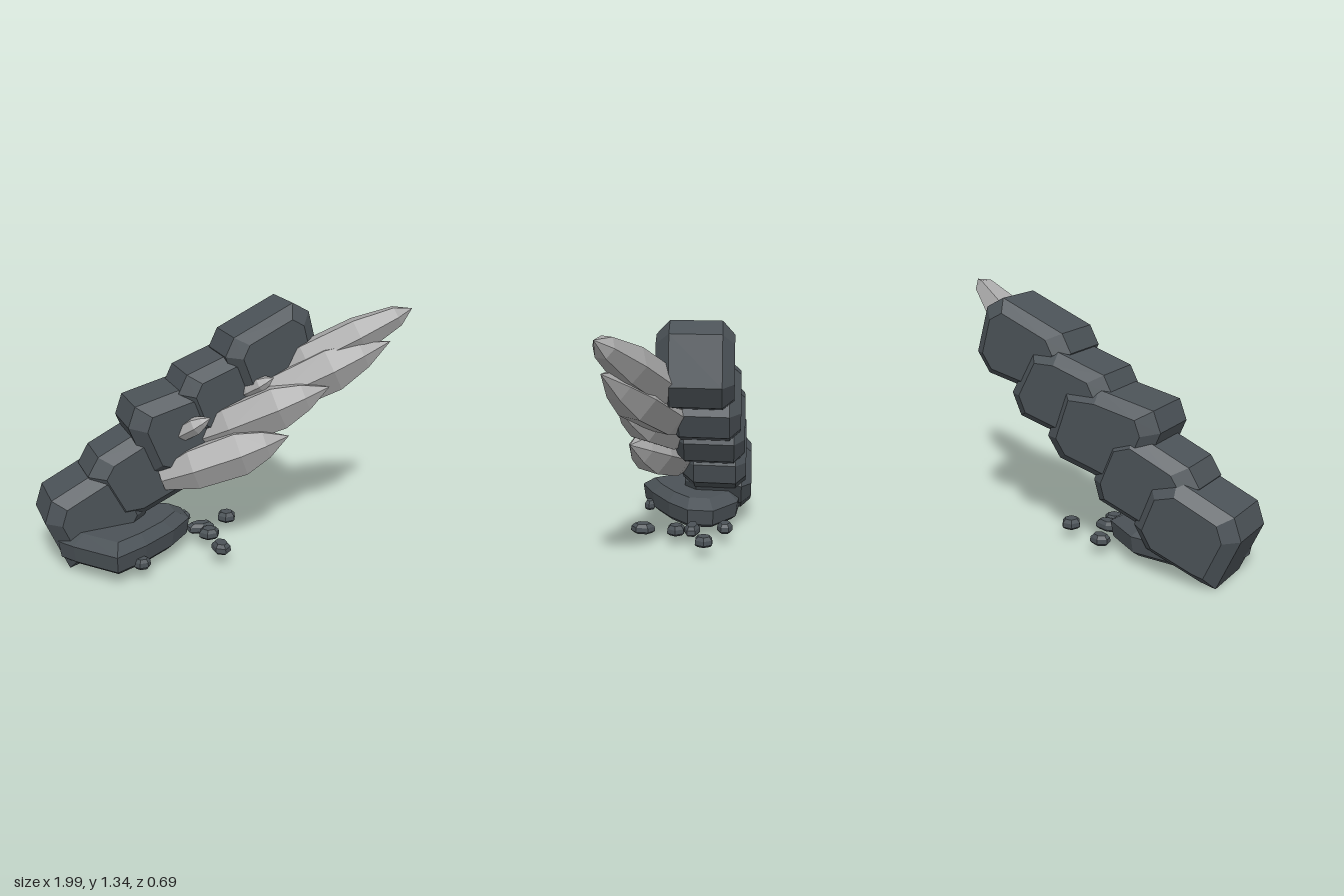
import * as THREE from 'three';
import { ConvexGeometry } from 'three/addons/geometries/ConvexGeometry.js';

const V = (x, y, z) => new THREE.Vector3(x, y, z);

export function createModel() {
  const model = new THREE.Group();
  const rock = new THREE.MeshStandardMaterial({ name: 'dark slate rock', color: 0x4b5257, flatShading: true });
  const crystal = new THREE.MeshStandardMaterial({ name: 'pale grey crystal', color: 0xa8a8a8, flatShading: true });

  const addHull = (name, points, material) => {
    const mesh = new THREE.Mesh(new ConvexGeometry(points), material);
    mesh.name = name;
    model.add(mesh);
  };

  // Chamfered boulder: a side outline given depth, with smaller front and back faces
  const boulder = (name, outline, front, back, skew) => {
    const n = outline.length;
    const cx = outline.reduce((s, p) => s + p[0], 0) / n;
    const cy = outline.reduce((s, p) => s + p[1], 0) / n;
    const points = [];
    for (const [z, scale] of [[front, 0.72], [front - 0.07, 1], [back + 0.06, 1], [back, 0.74]]) {
      for (const [x, y] of outline) {
        const px = cx + (x - cx) * scale;
        points.push(V(px, cy + (y - cy) * scale, z - skew * (px - cx)));
      }
    }
    addHull(name, points, rock);
  };

  // Leaning column of five stacked boulders, lowest first
  const column = [
    [[[-1, 0.28], [-0.96, 0.4], [-0.66, 0.54], [-0.52, 0.5], [-0.43, 0.26], [-0.5, 0.14], [-0.8, 0.02], [-0.88, 0]], 0.08, -0.32],
    [[[-0.76, 0.5], [-0.7, 0.6], [-0.4, 0.74], [-0.28, 0.7], [-0.18, 0.45], [-0.21, 0.34], [-0.48, 0.23], [-0.62, 0.23]], 0.06, -0.31],
    [[[-0.54, 0.75], [-0.5, 0.86], [-0.2, 0.93], [0, 0.93], [0.1, 0.64], [0.03, 0.53], [-0.3, 0.43], [-0.43, 0.48]], 0.08, -0.32],
    [[[-0.26, 0.9], [-0.21, 1], [0.05, 1.09], [0.2, 1.09], [0.33, 0.84], [0.28, 0.72], [-0.05, 0.62], [-0.17, 0.67]], 0.07, -0.32],
    [[[0, 1.08], [0.05, 1.18], [0.4, 1.335], [0.5, 1.28], [0.57, 1.03], [0.5, 0.92], [0.17, 0.84], [0.08, 0.88]], 0.08, -0.31],
  ];
  column.forEach(([outline, front, back], i) => boulder(`columnBoulder${i + 1}`, outline, front, back, 0.1));

  // Flat slab at the foot: plan outline repeated at four heights
  const plan = [[-0.94, 0.05], [-0.88, 0.14], [-0.7, 0.35], [-0.52, 0.26], [-0.33, 0.13],
    [-0.2, 0], [-0.2, -0.15], [-0.4, -0.27], [-0.75, -0.27], [-0.92, -0.1]];
  const slab = [];
  for (const [y, s] of [[0.06, 0.86], [0.085, 0.96], [0.175, 1], [0.225, 0.78]]) {
    for (const [x, z] of plan) slab.push(V(-0.58 + (x + 0.58) * s, y, z * s));
  }
  addHull('baseSlab', slab, rock);

  // Loose pebbles: x, z, half width, half depth
  const pebbles = [[-0.55, 0.28, 0.045, 0.035], [-0.1, 0.24, 0.05, 0.07], [-0.1, 0.05, 0.06, 0.055],
    [-0.12, -0.04, 0.085, 0.045], [0.07, -0.13, 0.055, 0.055], [-0.18, -0.22, 0.06, 0.045]];
  pebbles.forEach(([x, z, w, d], i) => {
    const points = [];
    for (const [y, s] of [[0.062, 0.75], [0.075, 1], [0.1, 0.95], [0.118, 0.65]]) {
      for (let k = 0; k < 6; k++) {
        const a = k * Math.PI / 3 + i * 0.5;
        points.push(V(x + Math.cos(a) * w * s, y, z + Math.sin(a) * d * s));
      }
    }
    addHull(`pebble${i + 1}`, points, rock);
  });

  // Pointed six-sided shard from base to tip; rings hold [position along axis, scale]
  const shard = (name, base, tip, width, depth, rings) => {
    const axis = tip.clone().sub(base);
    const u = V(-axis.y, axis.x, 0).normalize();
    const v = axis.clone().normalize().cross(u);
    const points = [tip];
    for (const [t, s] of rings) {
      for (let k = 0; k < 6; k++) {
        const a = k * Math.PI / 3 + 0.3;
        points.push(base.clone().addScaledVector(axis, t)
          .addScaledVector(u, Math.cos(a) * width * s)
          .addScaledVector(v, Math.sin(a) * depth * s));
      }
    }
    addHull(name, points, crystal);
  };
  const blade = [[0, 0.5], [0.25, 0.92], [0.62, 1], [0.82, 0.62]];
  const blunt = [[0, 0.5], [0.3, 1], [0.65, 0.95], [0.9, 0.55]];

  // Four large crystals along the front of the column
  shard('lowerCrystal', V(-0.36, 0.44, 0.03), V(0.29, 0.67, 0.23), 0.135, 0.12, blade);
  shard('middleCrystal', V(-0.15, 0.63, 0), V(0.51, 0.925, 0.25), 0.135, 0.11, blade);
  shard('upperCrystal', V(0.1, 0.75, -0.02), V(0.87, 1.14, 0.24), 0.135, 0.12, blade);
  shard('topCrystal', V(0.25, 0.9, -0.04), V(0.99, 1.31, 0.24), 0.11, 0.11, blunt);

  // Two small crystals in the gaps
  shard('smallLowerCrystal', V(-0.3, 0.66, 0.02), V(-0.12, 0.79, 0.14), 0.05, 0.05, blade);
  shard('smallUpperCrystal', V(0.09, 0.86, 0.02), V(0.24, 0.97, 0.13), 0.045, 0.045, blade);

  return model;
}
